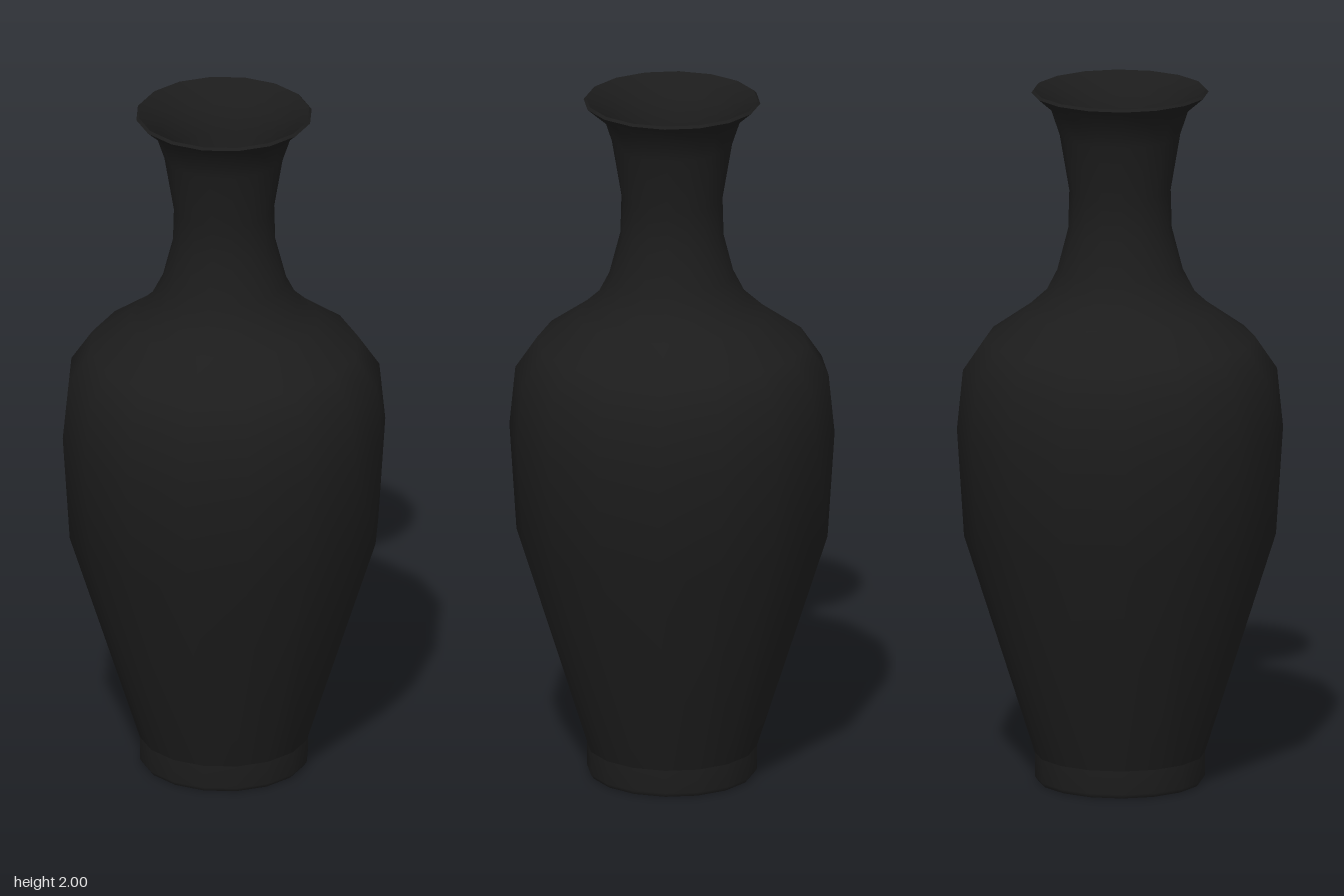
import * as THREE from 'three';

const SIDES = 16;

export function createModel() {
  const group = new THREE.Group();
  group.name = 'vase';
  const material = new THREE.MeshStandardMaterial({ color: 0x1c1c1c });

  // Each profile is a list of [radius, height]; upward runs face outwards
  const addLathe = (name, profile) => {
    const points = profile.map(([r, y]) => new THREE.Vector2(r, y));
    const mesh = new THREE.Mesh(new THREE.LatheGeometry(points, SIDES), material);
    mesh.name = name;
    group.add(mesh);
  };

  // Foot, with a small bevel under it
  addLathe('base', [[0, 0], [0.232, 0]]);
  addLathe('foot', [[0.232, 0], [0.24, 0.012], [0.24, 0.08]]);

  // Belly, shoulder, neck and flared lip
  addLathe('body', [
    [0.24, 0.08], [0.44, 0.71], [0.46, 1.02], [0.443, 1.19], [0.382, 1.28],
    [0.268, 1.36], [0.213, 1.41], [0.177, 1.48], [0.146, 1.6], [0.143, 1.71],
    [0.17, 1.87], [0.195, 1.945], [0.25, 1.993],
  ]);
  addLathe('lip', [[0.25, 1.993], [0.243, 2]]);

  // Hollow inside, running down to the floor
  addLathe('innerWall', [
    [0.243, 2], [0.178, 1.945], [0.15, 1.87], [0.123, 1.71], [0.126, 1.6],
    [0.157, 1.48], [0.195, 1.4], [0.255, 1.34], [0.365, 1.26], [0.422, 1.18],
    [0.44, 1.02], [0.42, 0.71], [0.22, 0.08],
  ]);
  addLathe('innerFloor', [[0.22, 0.08], [0, 0.08]]);

  return group;
}
